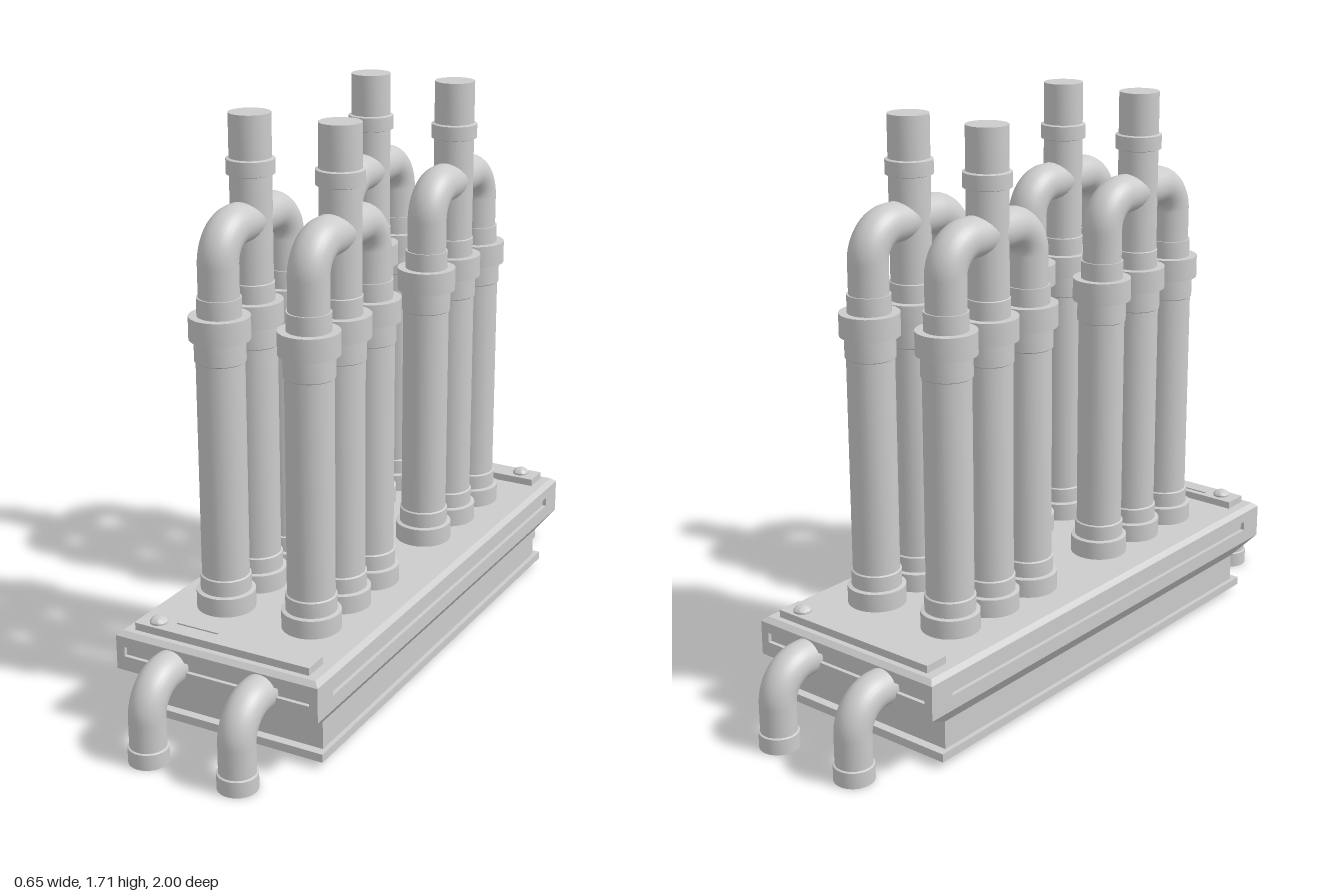
import * as THREE from 'three';
import { toCreasedNormals } from 'three/addons/utils/BufferGeometryUtils.js';

const material = new THREE.MeshStandardMaterial({ color: 0xcccccc });

function add(parent, name, geometry, x = 0, y = 0, z = 0) {
  const mesh = new THREE.Mesh(geometry, material);
  mesh.name = name;
  mesh.position.set(x, y, z);
  parent.add(mesh);
  return mesh;
}

// Solid of revolution from [radius, y] pairs, bottom to top
function turned(profile) {
  const points = profile.map(([r, y]) => new THREE.Vector2(r, y));
  return toCreasedNormals(new THREE.LatheGeometry(points, 32), 0.6);
}

// Closed solid from stacked rectangles [y, halfWidth, halfDepth]
function stackedRectangles(sections) {
  const pos = [];
  const corners = ([y, w, d]) => [[-w, y, d], [w, y, d], [w, y, -d], [-w, y, -d]];
  const quad = (a, b, c, d) => pos.push(...a, ...b, ...c, ...a, ...c, ...d);
  for (let i = 0; i < sections.length - 1; i++) {
    const lo = corners(sections[i]), hi = corners(sections[i + 1]);
    for (let k = 0; k < 4; k++) {
      const n = (k + 1) % 4;
      quad(lo[k], lo[n], hi[n], hi[k]);
    }
  }
  quad(...corners(sections[0]).reverse());
  quad(...corners(sections[sections.length - 1]));
  const geometry = new THREE.BufferGeometry();
  geometry.setAttribute('position', new THREE.Float32BufferAttribute(pos, 3));
  geometry.computeVertexNormals();
  return geometry;
}

// Pipe in the z-y plane: up from (z0, y0), round a bend, level at y1 to z1
function elbow(z0, y0, y1, z1, bend, radius) {
  const dir = Math.sign(z1 - z0);
  const v = (y, z) => new THREE.Vector3(0, y, z);
  const path = new THREE.CurvePath();
  path.add(new THREE.LineCurve3(v(y0, z0), v(y1 - bend, z0)));
  const k = bend * 0.448;
  path.add(new THREE.CubicBezierCurve3(
    v(y1 - bend, z0), v(y1 - k, z0), v(y1, z0 + dir * k), v(y1, z0 + dir * bend)));
  path.add(new THREE.LineCurve3(v(y1, z0 + dir * bend), v(y1, z1)));
  return new THREE.TubeGeometry(path, 40, radius, 28, false);
}

export function createModel() {
  const model = new THREE.Group();
  model.name = 'pipeManifold';

  // Base: foot flange, web, flared body with a slot all round, chamfered top
  const base = new THREE.Group();
  base.name = 'base';
  model.add(base);
  add(base, 'baseBody', stackedRectangles([
    [0.02, 0.302, 0.755], [0.045, 0.302, 0.755], [0.045, 0.288, 0.728], [0.13, 0.288, 0.728],
    [0.183, 0.327, 0.823], [0.227, 0.327, 0.823], [0.227, 0.315, 0.811], [0.256, 0.315, 0.811],
    [0.256, 0.327, 0.823], [0.287, 0.327, 0.823], [0.3, 0.312, 0.808],
  ]));
  for (const sx of [-1, 1]) for (const sz of [-1, 1]) {
    add(base, 'slotCorner', new THREE.BoxGeometry(0.027, 0.03, 0.083),
      sx * 0.3135, 0.2415, sz * 0.7815);
  }

  // Name plates with a domed knob, one at each end
  const knob = turned([[0.026, 0], [0.026, 0.008], [0.021, 0.015], [0.012, 0.02], [0, 0.022]]);
  for (const s of [1, -1]) {
    const plate = new THREE.Group();
    plate.name = s > 0 ? 'frontPlate' : 'backPlate';
    plate.rotation.y = s > 0 ? 0 : Math.PI;
    base.add(plate);
    add(plate, 'plate', new THREE.BoxGeometry(0.565, 0.025, 0.077), 0, 0.31, 0.752);
    add(plate, 'knob', knob, -0.225, 0.32, 0.755);
    if (s > 0) add(plate, 'indicatorStrip', new THREE.BoxGeometry(0.135, 0.005, 0.009), -0.107, 0.324, 0.737);
  }

  // Turned profiles: column up to its coupling, then outer socket or central stack
  const column = [
    [0, 0.295], [0.086, 0.295], [0.086, 0.355], [0.074, 0.358], [0.074, 0.403], [0.069, 0.406],
    [0.069, 1.047], [0.073, 1.05], [0.073, 1.11], [0.087, 1.113], [0.087, 1.18],
    [0.063, 1.18], [0.063, 1.233],
  ];
  const outerColumn = turned([...column, [0, 1.233]]);
  const centreColumn = turned([
    ...column, [0.06, 1.235], [0.06, 1.54], [0.069, 1.543], [0.069, 1.585],
    [0.06, 1.588], [0.06, 1.713], [0, 1.713],
  ]);

  // Four clusters: a central stack joined to two outer columns by elbows
  const spread = 0.177;
  for (const x of [-0.142, 0.142]) for (const z of [-0.354, 0.354]) {
    const cluster = new THREE.Group();
    cluster.name = 'pipeCluster';
    cluster.position.set(x, 0, z);
    model.add(cluster);
    add(cluster, 'centreColumn', centreColumn);
    for (const s of [-1, 1]) {
      add(cluster, 'outerColumn', outerColumn, 0, 0, s * spread);
      add(cluster, 'branchElbow', elbow(s * spread, 1.2, 1.415, 0, 0.09, 0.058));
    }
  }

  // Down-turned pipes at both ends, each with a foot collar
  const collar = turned([[0, 0], [0.058, 0], [0.058, 0.047], [0.053, 0.05], [0, 0.05]]);
  for (const x of [-0.145, 0.145]) for (const s of [-1, 1]) {
    add(model, 'endElbow', elbow(s * 0.942, 0.03, 0.231, s * 0.79, 0.095, 0.053), x);
    add(model, 'endCollar', collar, x, 0, s * 0.942);
  }
  return model;
}
